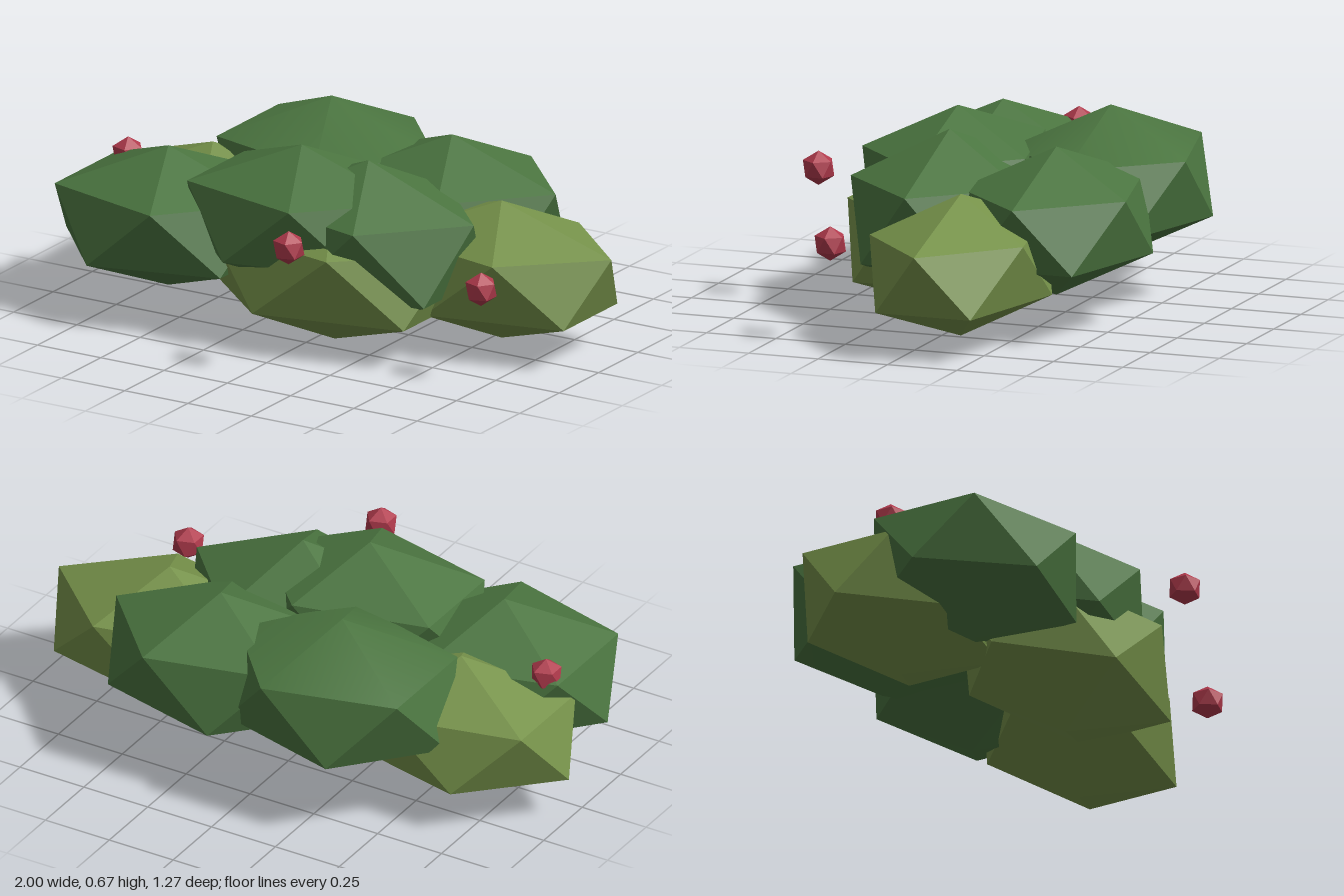
import * as THREE from 'three';
import { ConvexGeometry } from 'three/addons/geometries/ConvexGeometry.js';
import { toCreasedNormals } from 'three/addons/utils/BufferGeometryUtils.js';

// Twenty-sided ball standing on a point: two poles and two staggered rings of five
function icoGeometry(rx, ry, rz) {
  const pts = [new THREE.Vector3(0, ry, 0), new THREE.Vector3(0, -ry, 0)];
  const h = 1 / Math.sqrt(5), r = 2 * h;
  for (let i = 0; i < 10; i++) {
    const a = (i * Math.PI) / 5;
    const up = i % 2 === 0 ? 1 : -1;
    pts.push(new THREE.Vector3(r * Math.cos(a) * rx, up * h * ry, r * Math.sin(a) * rz));
  }
  return new ConvexGeometry(pts);
}

export function createModel() {
  const material = (name, color) => {
    const m = new THREE.MeshStandardMaterial({ color });
    m.name = name;
    return m;
  };
  const darkLeaf = material('dark leaf green', 0x4b7540);
  const lightLeaf = material('light leaf green', 0x76924a);
  const berryRed = material('berry red', 0xb03a4c);

  const group = new THREE.Group();
  group.name = 'berryBush';
  const add = (name, mat, position, radii, smooth = false) => {
    let geometry = icoGeometry(...radii);
    if (smooth) geometry = toCreasedNormals(geometry, 0.6);
    const mesh = new THREE.Mesh(geometry, mat);
    mesh.name = name;
    mesh.position.set(...position);
    group.add(mesh);
  };

  // Lower, lighter foliage
  add('lowerLeafLeft', lightLeaf, [0.56, 0.265, -0.092], [0.485, 0.243, 0.325]);
  add('lowerLeafRight', lightLeaf, [-0.58, 0.268, -0.09], [0.472, 0.245, 0.337]);
  add('lowerLeafMiddle', lightLeaf, [0.06, 0.265, 0.165], [0.53, 0.262, 0.34]);

  // Upper, darker foliage
  add('upperLeafFrontMiddle', darkLeaf, [-0.07, 0.42, 0.165], [0.47, 0.247, 0.345]);
  add('upperLeafFrontRight', darkLeaf, [-0.575, 0.337, 0.2], [0.452, 0.247, 0.375]);
  add('upperLeafFrontLeft', darkLeaf, [0.157, 0.35, 0.106], [0.465, 0.285, 0.36]);
  add('upperLeafBackRight', darkLeaf, [-0.25, 0.405, -0.315], [0.46, 0.265, 0.375], true);
  add('upperLeafBackLeft', darkLeaf, [0.23, 0.367, -0.307], [0.458, 0.254, 0.352]);

  // Berries
  const berries = [[0.14, 0.46, 0.585], [0.73, 0.34, 0.312], [-0.84, 0.46, 0.03]];
  berries.forEach((p, i) => add(`berry${i + 1}`, berryRed, p, [0.059, 0.059, 0.059]));

  return group;
}
